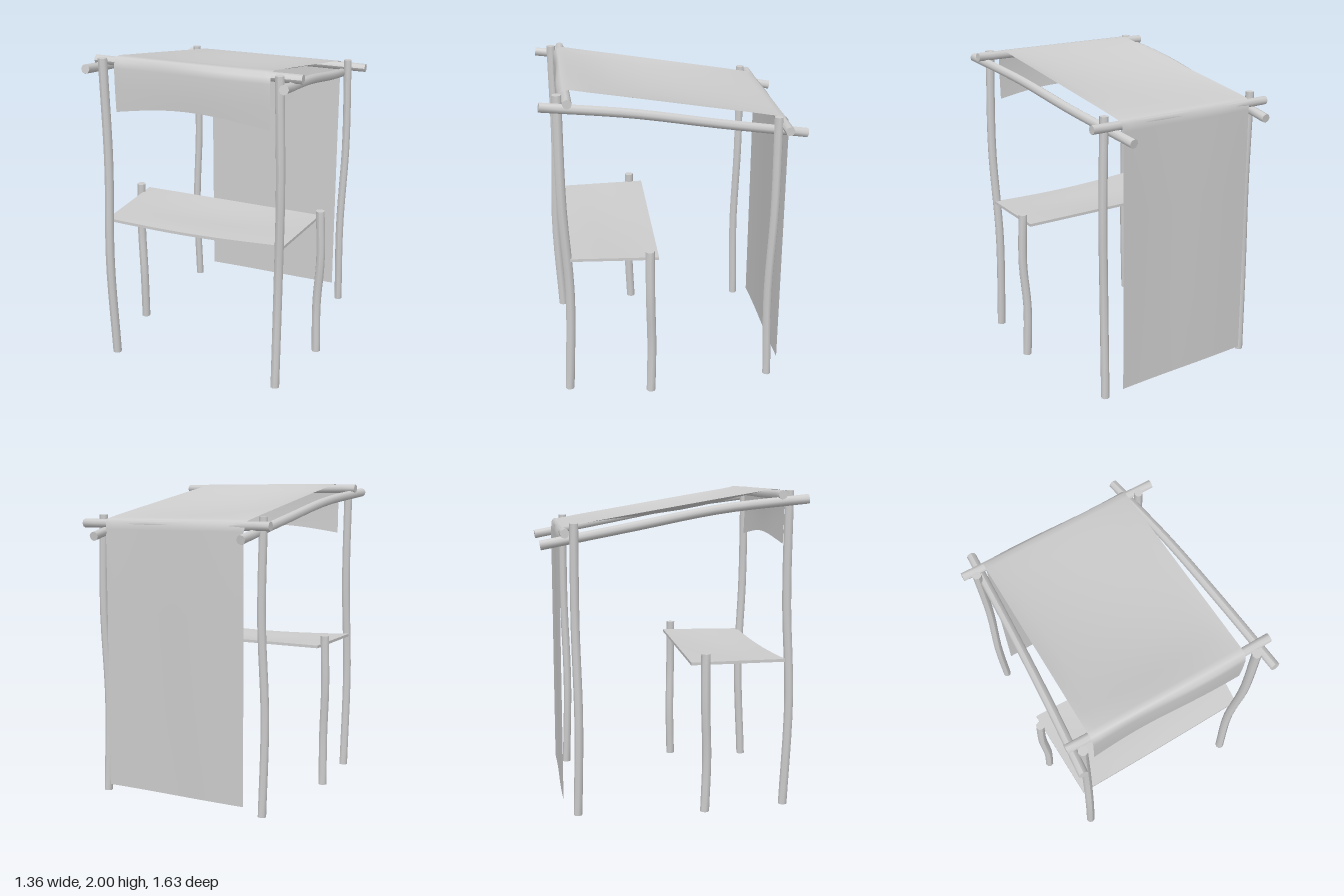
import * as THREE from 'three';

const material = new THREE.MeshStandardMaterial({ color: 0xcccccc });
const clothMaterial = new THREE.MeshStandardMaterial({ color: 0xcccccc, side: THREE.DoubleSide });
const v = (p) => new THREE.Vector3(...p);

// A rough wooden pole: a capped cylinder bent along a smooth curve
function pole(name, points, radius = 0.029) {
  const curve = new THREE.CatmullRomCurve3(points.map(v));
  const dir = v(points[points.length - 1]).sub(v(points[0])).normalize();
  const turn = new THREE.Quaternion().setFromUnitVectors(new THREE.Vector3(0, 1, 0), dir);
  const geo = new THREE.CylinderGeometry(radius, radius, 1, 8, 14);
  const pos = geo.attributes.position;
  for (let i = 0; i < pos.count; i++) {
    const p = new THREE.Vector3(pos.getX(i), 0, pos.getZ(i)).applyQuaternion(turn);
    p.add(curve.getPoint(THREE.MathUtils.clamp(pos.getY(i) + 0.5, 0, 1)));
    pos.setXYZ(i, p.x, p.y, p.z);
  }
  geo.computeVertexNormals();
  const mesh = new THREE.Mesh(geo, material);
  mesh.name = name;
  return mesh;
}

// Cloth draped over both crossbars: valance, sagging roof and back curtain in one sheet
function drape() {
  const profile = [ // z, y, left edge, right edge
    [0.685, 1.66, -0.515, 0.48], [0.69, 1.8, -0.515, 0.48], [0.69, 1.93, -0.515, 0.48],
    [0.682, 1.97, -0.515, 0.48], [0.66, 1.993, -0.515, 0.48], [0.62, 1.997, -0.515, 0.48],
    [0.5, 1.976, -0.515, 0.48], [0.3, 1.943, -0.515, 0.48], [0.1, 1.909, -0.515, 0.48],
    [-0.1, 1.875, -0.515, 0.48], [-0.3, 1.841, -0.515, 0.48], [-0.5, 1.807, -0.515, 0.48],
    [-0.63, 1.783, -0.515, 0.48], [-0.67, 1.774, -0.512, 0.48], [-0.69, 1.755, -0.508, 0.475],
    [-0.696, 1.71, -0.5, 0.47], [-0.696, 1.2, -0.5, 0.468], [-0.696, 0.6, -0.5, 0.468],
    [-0.696, 0.07, -0.5, 0.468],
  ];
  const cols = 20;
  const geo = new THREE.PlaneGeometry(1, 1, cols, profile.length - 1);
  const pos = geo.attributes.position;
  profile.forEach(([z, y, x0, x1], row) => {
    for (let c = 0; c <= cols; c++) {
      const u = c / cols, arch = Math.sin(Math.PI * u);
      let dy = 0, dz = 0;
      if (row === 0) dy = 0.05 * arch;
      if (row < 4) dz = 0.007 * Math.sin(Math.PI * 2 * (u - 0.5));
      if (row > 5 && row < 12) dy = -0.055 * Math.pow(arch, 0.7) * Math.sin(Math.PI * Math.pow((0.62 - z) / 1.25, 0.75));
      if (row > 13) dz = -0.005 * Math.sin(Math.PI * 2 * u) * (y > 0.1 ? 1 : 0.5);
      pos.setXYZ(row * (cols + 1) + c, x0 + (x1 - x0) * u, y + dy, z + dz);
    }
  });
  geo.computeVertexNormals();
  const mesh = new THREE.Mesh(geo, clothMaterial);
  mesh.name = 'drapedCloth';
  return mesh;
}

// Thin counter: a four-cornered slab with a shallow dip in the middle
function counter() {
  const back = [[-0.63, 0.09], [0.615, 0.12]], front = [[-0.61, 0.69], [0.57, 0.665]];
  const mix = THREE.MathUtils.lerp;
  const geo = new THREE.BoxGeometry(1, 0.018, 1, 16, 1, 8);
  const pos = geo.attributes.position;
  for (let i = 0; i < pos.count; i++) {
    const u = pos.getX(i) + 0.5, w = pos.getZ(i) + 0.5;
    const x = mix(mix(back[0][0], back[1][0], u), mix(front[0][0], front[1][0], u), w);
    const z = mix(mix(back[0][1], back[1][1], u), mix(front[0][1], front[1][1], u), w);
    const dip = 0.022 * Math.max(Math.sin(Math.PI * u) * Math.sin(Math.PI * w), 0.8 * w * Math.sin(Math.PI * u));
    pos.setXYZ(i, x, 0.942 - dip + pos.getY(i), z);
  }
  geo.computeVertexNormals();
  const mesh = new THREE.Mesh(geo, material);
  mesh.name = 'counter';
  return mesh;
}

export function createModel() {
  const group = new THREE.Group();
  group.add(
    // Tall front posts
    pole('frontRightPost', [[-0.583, 0, 0.7], [-0.588, 0.68, 0.725], [-0.578, 1.32, 0.7], [-0.585, 1.99, 0.7]]),
    pole('frontLeftPost', [[0.54, 0, 0.7], [0.54, 0.68, 0.672], [0.556, 1.32, 0.7], [0.54, 1.99, 0.7]]),
    // Shorter back posts
    pole('backRightPost', [[-0.585, 0, -0.612], [-0.595, 0.6, -0.6], [-0.575, 1.2, -0.612], [-0.585, 1.8, -0.612]], 0.027),
    pole('backLeftPost', [[0.545, 0, -0.612], [0.54, 0.6, -0.596], [0.556, 1.2, -0.612], [0.545, 1.8, -0.612]], 0.027),
    // Low counter posts
    pole('counterRightPost', [[-0.643, 0, 0.178], [-0.638, 0.34, 0.19], [-0.652, 0.67, 0.178], [-0.643, 1.005, 0.178]]),
    pole('counterLeftPost', [[0.635, 0, 0.178], [0.627, 0.34, 0.17], [0.647, 0.67, 0.178], [0.635, 1.005, 0.178]]),
    // Crossbars carrying the cloth
    pole('frontCrossbar', [[-0.66, 1.965, 0.64], [-0.22, 1.962, 0.645], [0.22, 1.965, 0.65], [0.66, 1.967, 0.645]], 0.028),
    pole('backCrossbar', [[-0.66, 1.745, -0.67], [-0.22, 1.742, -0.665], [0.22, 1.745, -0.66], [0.66, 1.745, -0.655]], 0.028),
    // Sloping side rails
    pole('rightRail', [[-0.642, 1.94, 0.805], [-0.6, 1.88, 0.27], [-0.566, 1.775, -0.27], [-0.54, 1.67, -0.81]]),
    pole('leftRail', [[0.604, 1.94, 0.805], [0.572, 1.87, 0.27], [0.54, 1.77, -0.27], [0.48, 1.67, -0.81]]),
    counter(),
    drape(),
  );
  return group;
}
